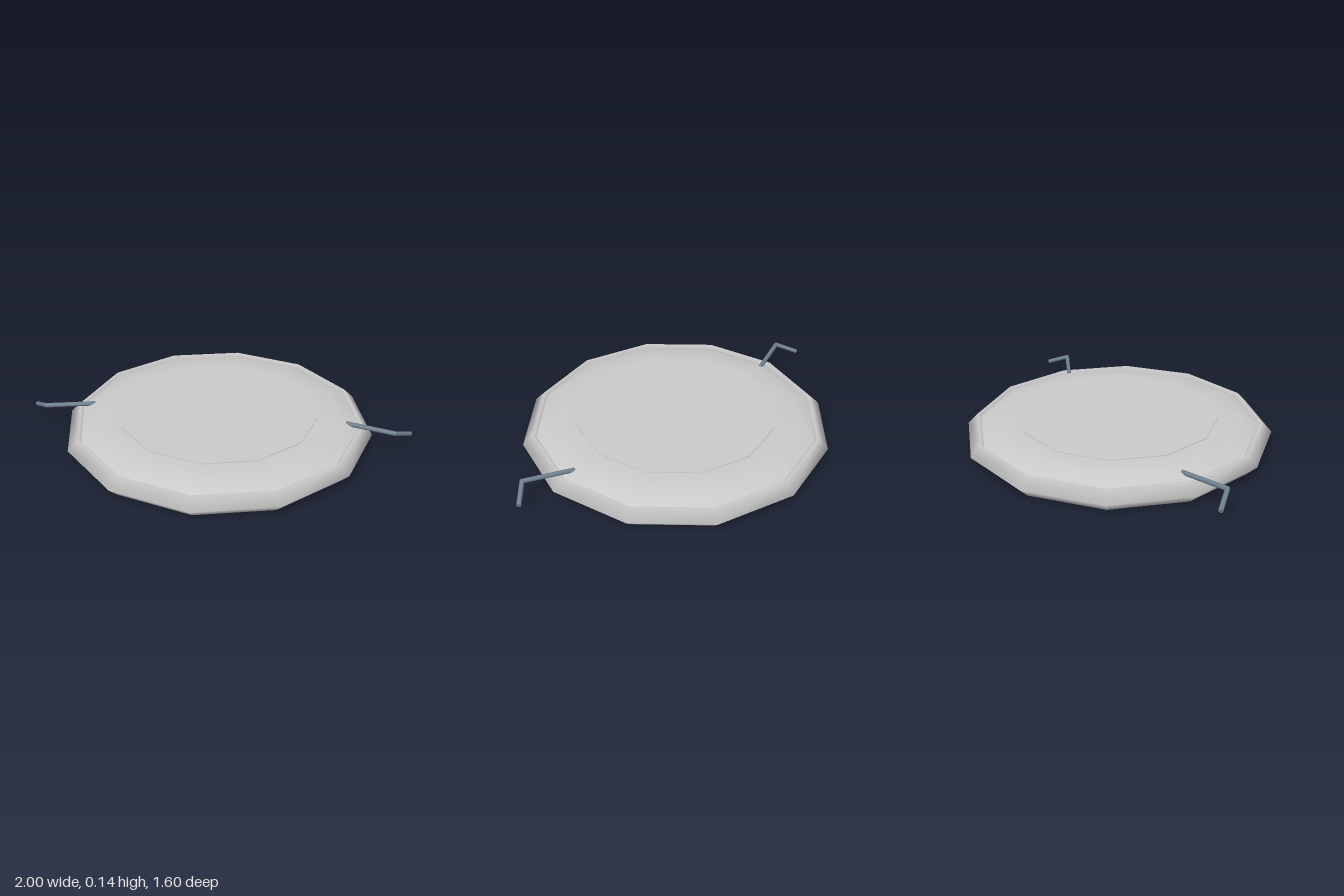
import * as THREE from 'three';

const SIDES = 12;
const shell = new THREE.MeshStandardMaterial({ color: 0xcccccc, side: THREE.DoubleSide });
const metal = new THREE.MeshStandardMaterial({ color: 0x708090 });

function lathe(name, points) {
  const profile = points.map(([r, y]) => new THREE.Vector2(r, y));
  const mesh = new THREE.Mesh(new THREE.LatheGeometry(profile, SIDES), shell);
  mesh.name = name;
  return mesh;
}

// straight round bar between two points
function bar(name, a, b, radius) {
  const dir = b.clone().sub(a);
  const mesh = new THREE.Mesh(new THREE.CylinderGeometry(radius, radius, dir.length(), 8), metal);
  mesh.position.copy(a).add(b).multiplyScalar(0.5);
  mesh.quaternion.setFromUnitVectors(new THREE.Vector3(0, 1, 0), dir.normalize());
  mesh.name = name;
  return mesh;
}

// bent rod sticking out of the rim; side is +1 for left, -1 for right
function handle(side) {
  const group = new THREE.Group();
  group.name = side > 0 ? 'leftHandle' : 'rightHandle';
  const root = new THREE.Vector3(0.665 * side, 0.112, 0.002);
  const elbow = new THREE.Vector3(0.905 * side, 0.127, 0.09);
  const tip = new THREE.Vector3(0.99 * side, 0.083, 0.003);
  group.add(bar('handleArm', root, elbow, 0.012), bar('handleTip', elbow, tip, 0.012));
  const joint = new THREE.Mesh(new THREE.SphereGeometry(0.012, 8, 6), metal);
  joint.position.copy(elbow);
  joint.name = 'handleElbow';
  group.add(joint);
  return group;
}

export function createModel() {
  const model = new THREE.Group();
  model.name = 'roundLid';

  // rim with a diamond cross-section
  const rimGeometry = new THREE.TorusGeometry(0.745, 0.055, 4, SIDES);
  rimGeometry.rotateX(Math.PI / 2);
  const rim = new THREE.Mesh(rimGeometry, shell);
  rim.position.y = 0.055;
  rim.name = 'rim';
  model.add(rim);

  // sloping top and the thin raised plate on it
  model.add(lathe('domedTop', [[0.75, 0.085], [0.65, 0.126], [0.52, 0.129], [0, 0.129]]));
  model.add(lathe('plateEdge', [[0.52, 0.127], [0.52, 0.132]]));
  model.add(lathe('plateTop', [[0.52, 0.132], [0, 0.132]]));

  // underside, slightly recessed inside the rim
  model.add(lathe('undersideEdge', [[0.672, 0.064], [0.695, 0.052]]));
  model.add(lathe('underside', [[0, 0.064], [0.672, 0.064]]));

  model.add(handle(1), handle(-1));
  return model;
}
